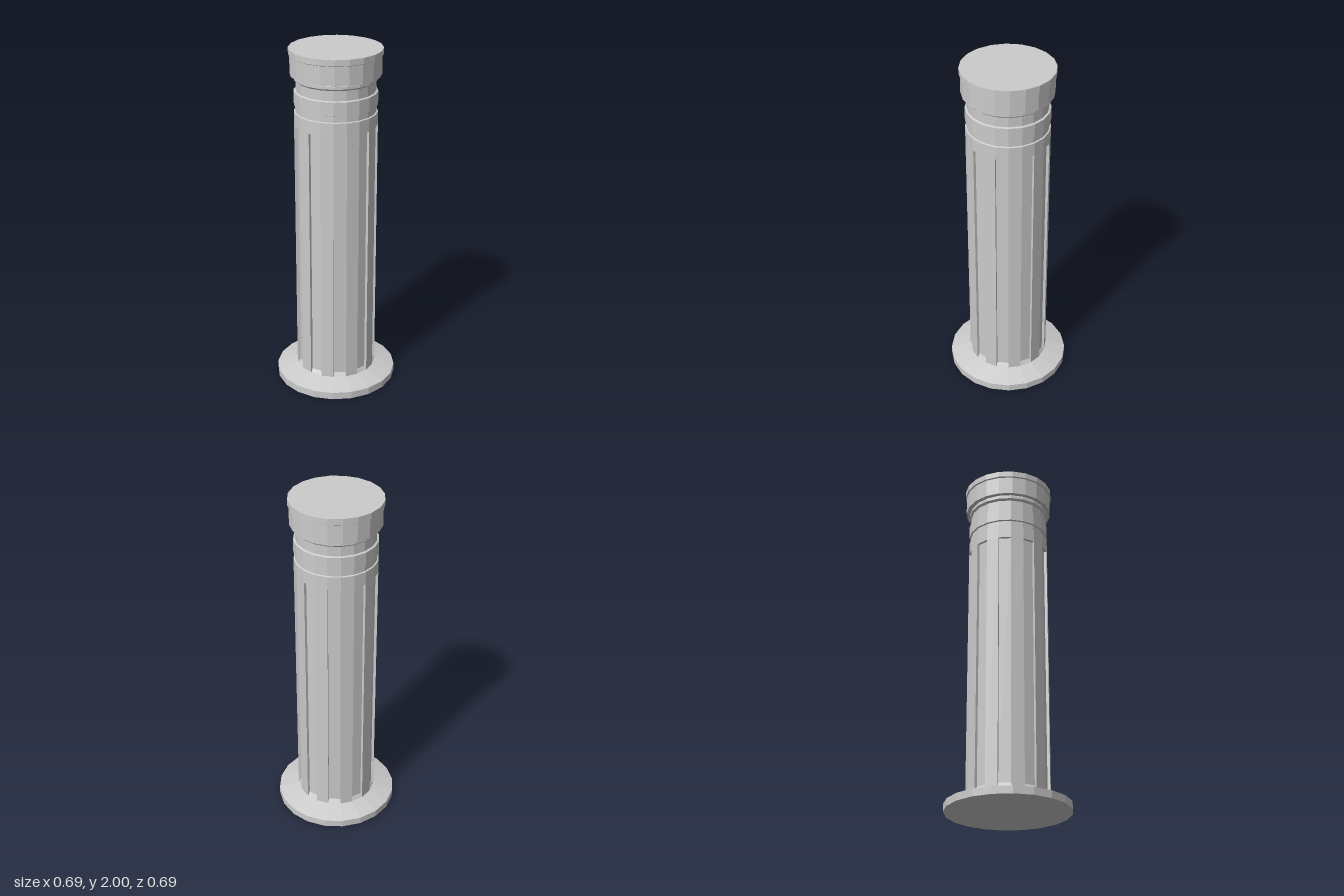
import * as THREE from 'three';

const SIDES = 20;
const STEP = (Math.PI * 2) / SIDES;
const material = new THREE.MeshStandardMaterial({ color: 0xcccccc, flatShading: true });

// Faceted solid of revolution from [radius, height] pairs, listed bottom to top
function turned(name, profile, turn = 0) {
  const points = profile.map(([r, y]) => new THREE.Vector2(r, y));
  const mesh = new THREE.Mesh(new THREE.LatheGeometry(points, SIDES, STEP / 2 + turn), material);
  mesh.name = name;
  return mesh;
}

// Shaft whose alternate sides are sunk into flutes
function flutedShaft(outer, inner, bottom, top) {
  const positions = [];
  const at = (angle, r, y) => [Math.sin(angle) * r, y, Math.cos(angle) * r];
  const quad = (a, b, c, d) => positions.push(...a, ...b, ...c, ...a, ...c, ...d);
  const ledge = bottom + 0.025;

  for (let i = 0; i < SIDES; i++) {
    const a = (i - 0.5) * STEP;
    const b = (i + 0.5) * STEP;
    if (i % 2) {
      // raised rib
      quad(at(a, outer, bottom), at(b, outer, bottom), at(b, outer, top), at(a, outer, top));
      continue;
    }
    // sunk panel, sloping sill, soffit and two side walls
    quad(at(a, inner, ledge), at(b, inner, ledge), at(b, inner, top), at(a, inner, top));
    quad(at(a, outer, bottom), at(b, outer, bottom), at(b, inner, ledge), at(a, inner, ledge));
    quad(at(a, inner, top), at(b, inner, top), at(b, outer, top), at(a, outer, top));
    quad(at(a, outer, bottom), at(a, inner, ledge), at(a, inner, top), at(a, outer, top));
    quad(at(b, inner, ledge), at(b, outer, bottom), at(b, outer, top), at(b, inner, top));
  }
  const geometry = new THREE.BufferGeometry();
  geometry.setAttribute('position', new THREE.Float32BufferAttribute(positions, 3));
  geometry.computeVertexNormals();
  const mesh = new THREE.Mesh(geometry, material);
  mesh.name = 'flutedShaft';
  return mesh;
}

export function createModel() {
  const column = new THREE.Group();
  column.name = 'column';

  // Flared foot
  column.add(turned('base', [[0, 0], [0.35, 0], [0.35, 0.042], [0.232, 0.077], [0, 0.077]]));

  column.add(flutedShaft(0.232, 0.217, 0.075, 1.57));

  // Plain collar with two grooves
  column.add(turned('neckRings', [
    [0.232, 1.57], [0.232, 1.645], [0.224, 1.648], [0.224, 1.682], [0.232, 1.685],
    [0.232, 1.762], [0.221, 1.766], [0.221, 1.822], [0.232, 1.832], [0.232, 1.847],
    [0.225, 1.858],
  ]));

  // Capital drum, slightly wider at its upper lip
  column.add(turned('capital', [
    [0, 1.855], [0.252, 1.855], [0.252, 1.962], [0.259, 1.966], [0.259, 2], [0, 2],
  ], THREE.MathUtils.degToRad(1.5)));

  return column;
}
